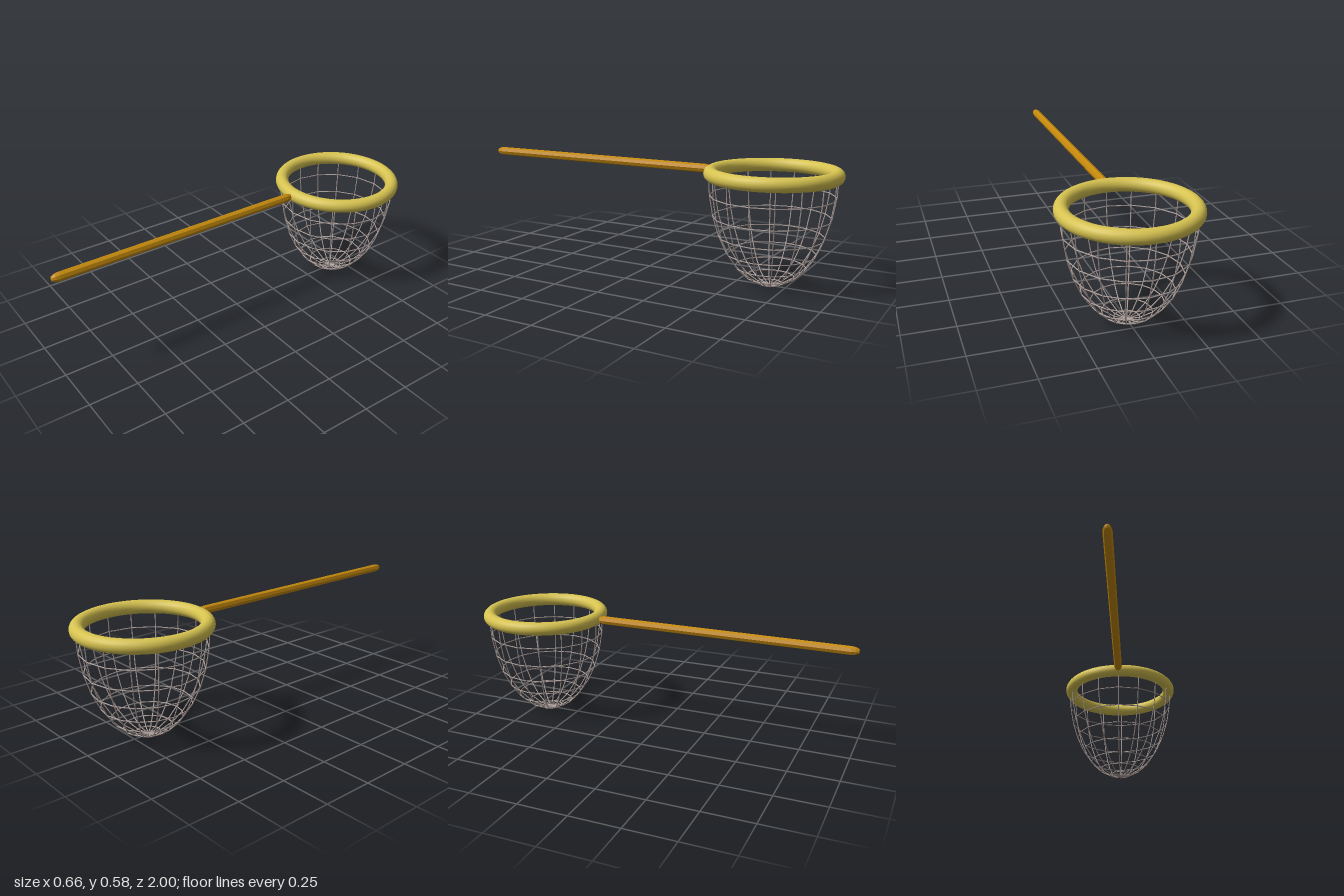
import * as THREE from 'three';

const RIM_Y = 0.548, RIM_Z = -0.67, NET_R = 0.305, NET_H = 0.545;
const MERIDIANS = 16, LEVELS = 8, STRAND = 0.0028;

function material(color, flatShading = false) {
  return new THREE.MeshStandardMaterial({ color, flatShading });
}

function add(parent, name, geometry, mat) {
  const mesh = new THREE.Mesh(geometry, mat);
  mesh.name = name;
  parent.add(mesh);
  return mesh;
}

// Radius and height of the net at a level, 0 at the rim and LEVELS at the bottom
function netPoint(level) {
  const a = (level / LEVELS) * Math.PI / 2;
  return new THREE.Vector2(NET_R * Math.cos(a), -NET_H * Math.sin(a));
}

// Straight strand between two points
function strand(parent, name, a, b, mat) {
  const dir = b.clone().sub(a);
  const mesh = add(parent, name, new THREE.CylinderGeometry(STRAND, STRAND, dir.length(), 6), mat);
  mesh.position.copy(a).add(b).multiplyScalar(0.5);
  mesh.quaternion.setFromUnitVectors(new THREE.Vector3(0, 1, 0), dir.normalize());
}

export function createModel() {
  const model = new THREE.Group();
  model.name = 'scoopNet';
  const head = new THREE.Group();
  head.name = 'head';
  head.position.set(0, RIM_Y, RIM_Z);
  model.add(head);

  // Thick round rim
  const rim = add(head, 'rim', new THREE.TorusGeometry(0.296, 0.034, 20, 64), material(0xd6c250));
  rim.rotation.x = Math.PI / 2;

  // Bowl-shaped net of straight strands
  const net = new THREE.Group();
  net.name = 'net';
  head.add(net);
  const netMat = material(0xa89a96, true);
  const at = (level, i) => {
    const p = netPoint(level), a = (i / MERIDIANS) * Math.PI * 2;
    return new THREE.Vector3(p.x * Math.sin(a), p.y, p.x * Math.cos(a));
  };
  for (let level = 0; level < LEVELS; level++) {
    for (let i = 0; i < MERIDIANS; i++) {
      strand(net, 'netMeridian', at(level, i), at(level + 1, i), netMat);
      if (level > 0) strand(net, 'netHoop', at(level, i), at(level, i + 1), netMat);
    }
  }

  // Eight-sided handle with rounded ends, running forward from the rim
  const profile = [
    [0, -0.35], [0.012, -0.35], [0.019, -0.335], [0.022, -0.315],
    [0.022, 0.962], [0.019, 0.982], [0.012, 0.997], [0, 1],
  ].map(([r, z]) => new THREE.Vector2(r, z));
  const handle = add(model, 'handle', new THREE.LatheGeometry(profile, 8), material(0xc4890c, true));
  handle.rotation.x = Math.PI / 2;
  handle.position.y = RIM_Y;

  return model;
}
